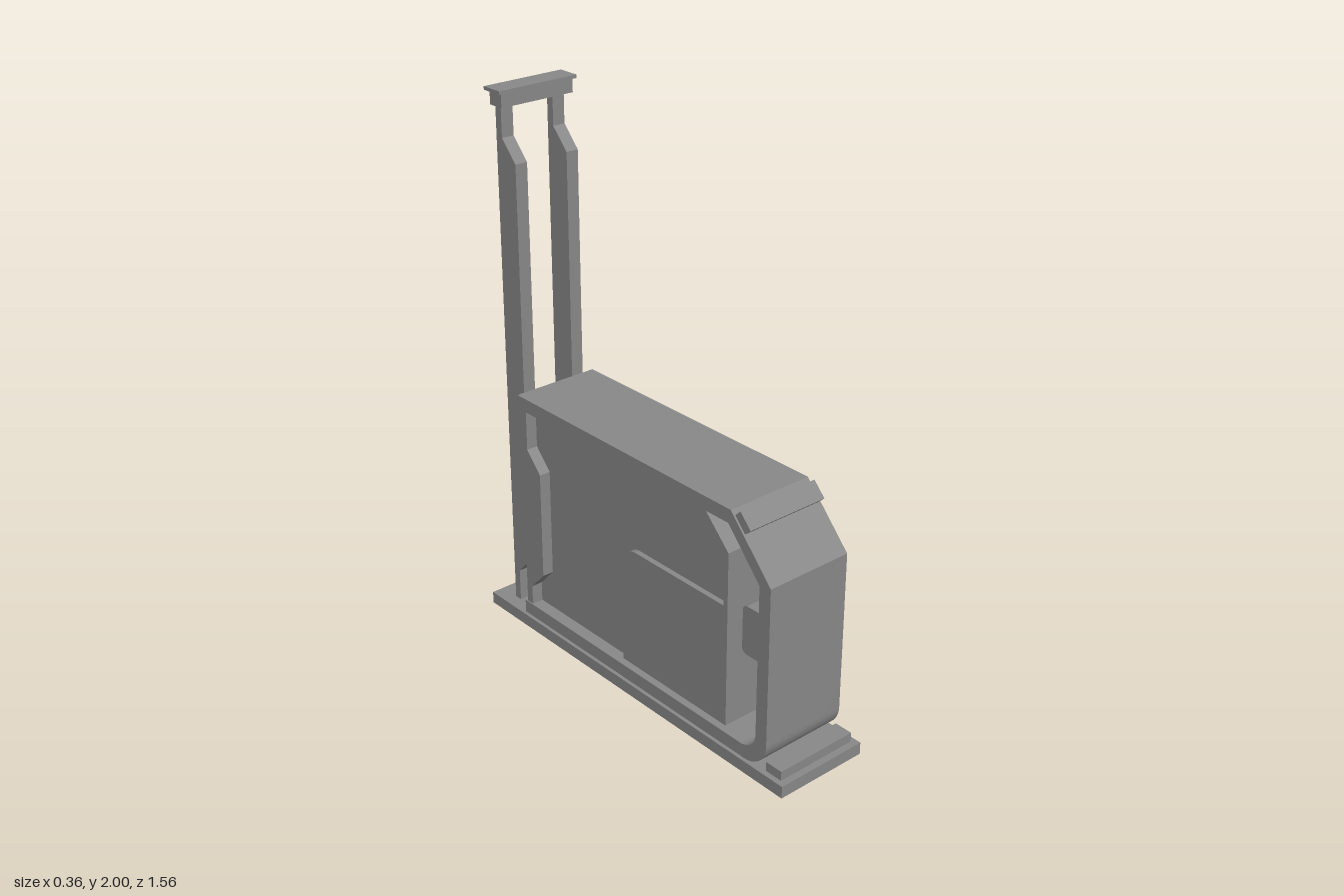
import * as THREE from 'three';
import { toCreasedNormals } from 'three/addons/utils/BufferGeometryUtils.js';

export function createModel() {
  const model = new THREE.Group();
  model.name = 'machine';
  const grey = new THREE.MeshStandardMaterial({ color: 0x888888 });
  grey.name = 'grey';

  const add = (name, geometry, parent = model) => {
    const mesh = new THREE.Mesh(geometry, grey);
    mesh.name = name;
    parent.add(mesh);
    return mesh;
  };
  // box given by its limits
  const box = (name, x0, x1, y0, y1, z0, z1, parent) => {
    const g = new THREE.BoxGeometry(x1 - x0, y1 - y0, z1 - z0);
    g.translate((x0 + x1) / 2, (y0 + y1) / 2, (z0 + z1) / 2);
    return add(name, g, parent);
  };
  // side profile in (z, y), extruded across x0..x1
  const profile = (name, shape, x0, x1, parent) => {
    let g = new THREE.ExtrudeGeometry(shape, { depth: x1 - x0, bevelEnabled: false, curveSegments: 12 });
    g.rotateY(-Math.PI / 2);
    g.translate(x1, 0, 0);
    g = toCreasedNormals(g, 0.5);
    return add(name, g, parent);
  };
  const poly = (pts) => new THREE.Shape(pts.map(([z, y]) => new THREE.Vector2(z, y)));

  // base: shallow tray, open underneath
  const base = new THREE.Group();
  base.name = 'base';
  model.add(base);
  box('baseTop', -0.18, 0.18, 0.035, 0.045, -0.78, 0.78, base);
  for (const s of [-1, 1]) {
    box('baseSideRim', s * 0.17 - 0.01, s * 0.17 + 0.01, 0, 0.035, -0.78, 0.78, base);
    box('baseEndRim', -0.16, 0.16, 0, 0.035, s * 0.77 - 0.01, s * 0.77 + 0.01, base);
  }
  box('frontStep', -0.16, 0.16, 0.045, 0.08, 0.685, 0.755);

  // wrap-around shell: roof, sloped nose, front and floor in one band
  const band = new THREE.Shape();
  band.moveTo(-0.59, 0.045);
  band.lineTo(0.59, 0.045);
  band.absarc(0.59, 0.145, 0.1, -Math.PI / 2, 0, false);
  band.lineTo(0.69, 0.73);
  band.lineTo(0.505, 0.93);
  band.lineTo(-0.59, 0.93);
  band.lineTo(-0.59, 0.88);
  band.lineTo(0.495, 0.88);
  band.lineTo(0.64, 0.72);
  band.lineTo(0.64, 0.165);
  band.absarc(0.57, 0.165, 0.07, 0, -Math.PI / 2, true);
  band.lineTo(-0.59, 0.095);
  profile('shell', band, -0.167, 0.167);

  // raised lip on the sloped nose
  profile('noseLip', poly([[0.518, 0.915], [0.563, 0.866], [0.588, 0.888], [0.541, 0.937]]), -0.16, 0.16);

  // box behind the front panel, rounded at its inner corners
  const r = 0.02;
  const control = new THREE.Shape();
  control.moveTo(0.64, 0.4);
  control.lineTo(0.64, 0.58);
  control.lineTo(0.52 + r, 0.58);
  control.absarc(0.52 + r, 0.58 - r, r, Math.PI / 2, Math.PI, false);
  control.lineTo(0.52, 0.4 + r);
  control.absarc(0.52 + r, 0.4 + r, r, Math.PI, Math.PI * 1.5, false);
  profile('controlBox', control, -0.12, 0.12);

  // hollow body, open at the rear
  const body = new THREE.Group();
  body.name = 'body';
  model.add(body);
  profile('bodyFront', poly([
    [0.47, 0.095], [0.47, 0.75], [0.345, 0.875], [-0.555, 0.875], [-0.555, 0.855],
    [0.335, 0.855], [0.45, 0.74], [0.45, 0.095],
  ]), -0.1, 0.1, body);

  const wall = [[0.47, 0.095], [0.47, 0.75], [0.345, 0.875], [-0.555, 0.875], [-0.555, 0.095]];
  const rim = [
    [0.47, 0.55], [0.47, 0.75], [0.345, 0.875], [-0.555, 0.875], [-0.555, 0.862],
    [0.335, 0.862], [0.45, 0.745], [0.45, 0.55],
  ];
  const lower = new THREE.Shape();
  lower.moveTo(0.47, 0.095);
  lower.lineTo(0.47, 0.55);
  lower.lineTo(0.015, 0.55);
  lower.absarc(0.015, 0.48, 0.07, Math.PI / 2, Math.PI, false);
  lower.lineTo(-0.055, 0.095);
  const rearPost = [
    [-0.58, 0.095], [-0.55, 0.095], [-0.55, 0.17], [-0.48, 0.245],
    [-0.48, 0.655], [-0.55, 0.73], [-0.55, 0.88], [-0.58, 0.88],
  ];
  // mast fin: tapered at both ends
  const fin = [[-0.67, 0.17], [-0.6, 0.245], [-0.6, 1.755], [-0.67, 1.83]];

  for (const s of [-1, 1]) {
    const side = s > 0 ? 'left' : 'right';
    const mirrored = (name, shape, a, b, parent) =>
      profile(side + name, shape, s > 0 ? a : -b, s > 0 ? b : -a, parent);
    mirrored('Wall', poly(wall), 0.1, 0.12, body);
    mirrored('Rim', poly(rim), 0.12, 0.14, body);
    mirrored('LowerPanel', lower, 0.12, 0.14, body);
    mirrored('RearPost', poly(rearPost), 0.118, 0.163, body);
    // mast upright with its fin
    box(side + 'MastUpright', s * 0.107 - 0.024, s * 0.107 + 0.024, 0.045, 1.94, -0.7, -0.67);
    mirrored('MastFin', poly(fin), 0.083, 0.131);
  }

  // mast cap
  box('mastCap', -0.148, 0.148, 1.94, 1.99, -0.705, -0.642);
  box('mastCapPlate', -0.16, 0.16, 1.988, 2, -0.72, -0.635);

  return model;
}
